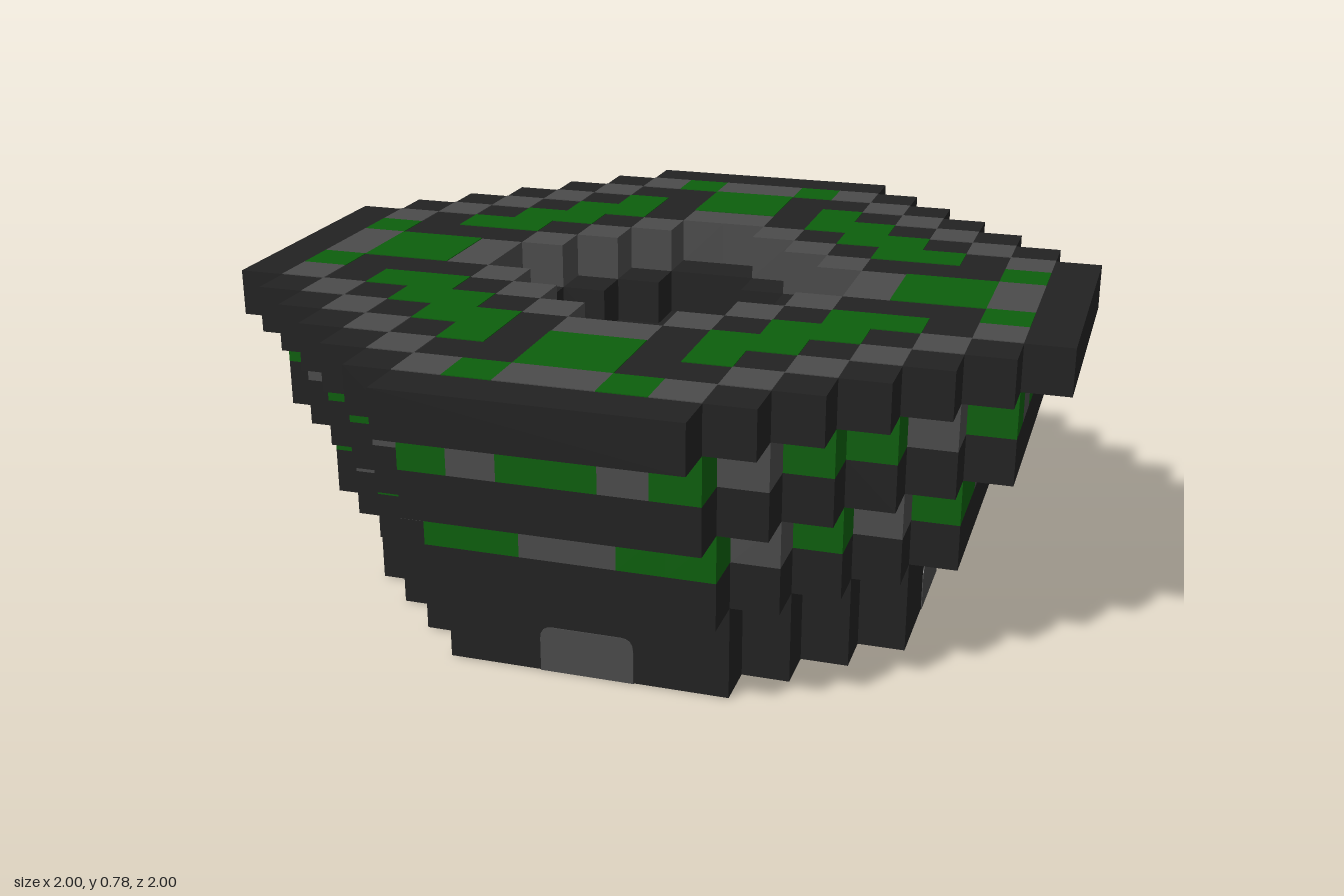
import * as THREE from 'three';
import { mergeGeometries } from 'three/addons/utils/BufferGeometryUtils.js';

const U = 1 / 9; // size of one block
const T = 0.004; // thickness of painted plates

// Stepped octagon: m = half size in blocks, flat = half length of the straight sides
function outline(PathType, m, flat) {
  const quarter = [];
  for (let k = 0; k <= m - flat; k++) {
    quarter.push([m - k, flat + k]);
    if (k < m - flat) quarter.push([m - k - 1, flat + k]);
  }
  const points = [];
  for (let turn = 0; turn < 4; turn++) {
    for (const [x, y] of quarter) {
      const [a, b] = [[x, y], [-y, x], [-x, -y], [y, -x]][turn];
      points.push(new THREE.Vector2(a * U, b * U));
    }
  }
  return new PathType(points);
}

// Stepped layer from block height y, optionally pierced by a stepped diamond
function layer(m, y, height, hole = 0) {
  const shape = outline(THREE.Shape, m, 3);
  if (hole) shape.holes.push(outline(THREE.Path, hole, 1));
  const geometry = new THREE.ExtrudeGeometry(shape, { depth: height * U, bevelEnabled: false });
  return geometry.rotateX(-Math.PI / 2).translate(0, y * U, 0);
}

// One block-wide cell mirrored into all four quadrants
function mirroredCells(i, j, y, height) {
  const cells = [];
  for (const sx of [-1, 1]) {
    for (const sz of [-1, 1]) {
      cells.push(new THREE.BoxGeometry(U, height, U)
        .translate(sx * (i + 0.5) * U, y + height / 2, sz * (j + 0.5) * U));
    }
  }
  return cells;
}

export function createModel() {
  const group = new THREE.Group();
  const material = (name, color) => {
    const m = new THREE.MeshStandardMaterial({ color });
    m.name = name;
    return m;
  };
  const mats = {
    dark: material('dark stone', 0x222222),
    grey: material('grey stone', 0x4b4b4b),
    green: material('green inlay', 0x0d5f0d),
    light: material('pale light', 0xa5a5a5),
  };
  const add = (name, geometry, color) => {
    const mesh = new THREE.Mesh(geometry, mats[color]);
    mesh.name = name;
    group.add(mesh);
    return mesh;
  };

  // Collect cells by colour; colorOf(i, j) returns a colour name or nothing
  const addCells = (name, y, height, colorOf) => {
    const lists = {};
    for (let i = 0; i < 9; i++) {
      for (let j = 0; j < 9; j++) {
        const color = colorOf(i, j);
        if (color) (lists[color] ??= []).push(...mirroredCells(i, j, y, height));
      }
    }
    for (const color in lists) add(`${name} ${color}`, mergeGeometries(lists[color]), color);
  };

  // Dark stepped body
  add('base', layer(6, 0, 2), 'dark');
  add('lowerStep', layer(7, 2, 1), 'dark');
  add('lowerBandCore', layer(6, 3, 1), 'dark');
  add('upperStep', layer(8, 4, 1), 'dark');
  add('upperBandCore', layer(7, 5, 1, 3), 'dark');
  add('rim', layer(9, 6, 1, 5), 'dark');

  // Coloured bands, listed by distance from the middle of each side
  const band = (m, colors) => (i, j) => {
    const hi = Math.max(i, j), lo = Math.min(i, j);
    if (hi >= m || i + j > m + 1) return null;
    if (hi === m - 1 || i + j === m + 1) return colors[lo];
    return null;
  };
  addCells('lowerBand', 3 * U, U, band(7, ['grey', 'green', 'green', 'grey', 'green']));
  addCells('upperBand', 5 * U, U, band(8, ['green', 'grey', 'green', 'grey', 'green']));

  // Grey ring of blocks around the central well
  addCells('wellRing', 6 * U, U, (i, j) => (i + j === 4 ? 'grey' : null));

  // Inlays on the top
  addCells('topInlay', 7 * U - T / 2, T, (i, j) => {
    const hi = Math.max(i, j), lo = Math.min(i, j), sum = i + j;
    if (hi > 7) return null;
    if (sum === 9) return 'grey';
    if (hi === 7 && lo < 2) return lo ? 'green' : 'grey';
    if (lo === 0 && (hi === 5 || hi === 6)) return 'green';
    if (lo >= 2 && (sum === 6 || sum === 7)) return 'green';
    return null;
  });

  // Inlays on the underside
  addCells('bottomInlay', 0, T, (i, j) => {
    if (i + j === 0 || (i + j === 5 && i * j === 0)) return 'grey';
    if (i < 2 && (j === 4 || (j === 3 && i === 0))) return 'green';
    if (i >= 2 && i <= 4 && j <= 3 && i + j <= 6 && !(j === 0 && i < 4)) return 'green';
    return null;
  });

  // Two pale lights in the floor of the well
  for (const side of [-1, 1]) {
    add(side > 0 ? 'leftLight' : 'rightLight',
      new THREE.BoxGeometry(U, T, 2 * U).translate(side * 2.5 * U, 5 * U, 0), 'light');
  }

  // Grey niche with rounded upper corners on each side of the base
  const r = 0.03;
  const niche = new THREE.Shape();
  niche.moveTo(-U, 0);
  niche.lineTo(U, 0);
  niche.lineTo(U, U - r);
  niche.quadraticCurveTo(U, U, U - r, U);
  niche.lineTo(r - U, U);
  niche.quadraticCurveTo(-U, U, -U, U - r);
  const nicheGeometry = new THREE.ExtrudeGeometry(niche, { depth: T, bevelEnabled: false, curveSegments: 4 })
    .translate(0, 0, 6 * U - T / 2);
  ['front', 'left', 'back', 'right'].forEach((side, k) => {
    add(`${side}Niche`, nicheGeometry, 'grey').rotation.y = k * Math.PI / 2;
  });

  // Bottom plates rest just below the body, flush with the ground
  group.children.filter((c) => c.name.startsWith('bottomInlay'))
    .forEach((c) => { c.position.y = -T / 2; });
  return group;
}
